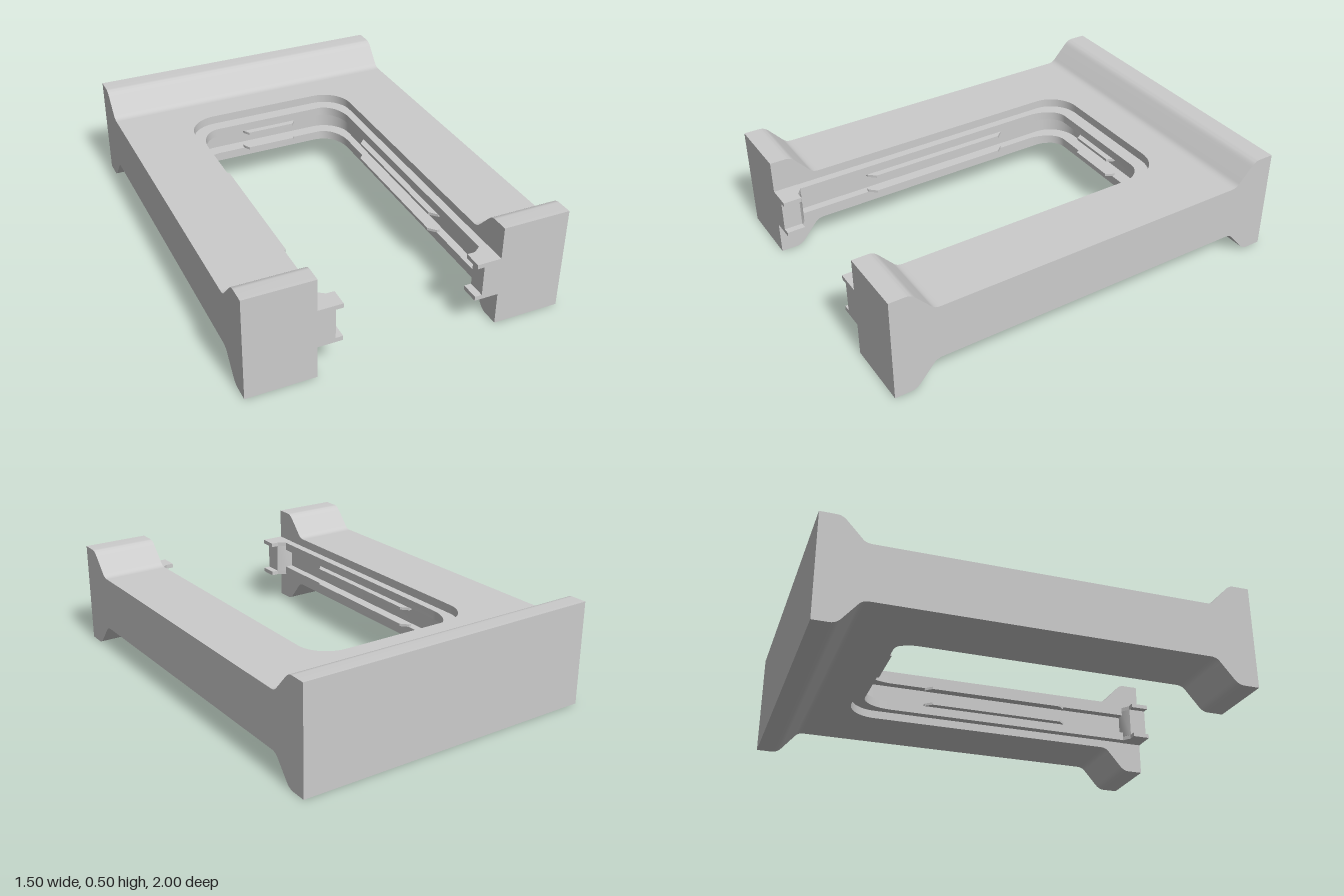
import * as THREE from 'three';
import { toCreasedNormals } from 'three/addons/utils/BufferGeometryUtils.js';

const material = new THREE.MeshStandardMaterial({ color: 0xcccccc });

function add(parent, name, geometry) {
  const mesh = new THREE.Mesh(toCreasedNormals(geometry, 0.6), material);
  mesh.name = name;
  parent.add(mesh);
}

// Plan outline (x, -z) extruded upward from y0 to y1
function slab(shape, y0, y1) {
  const g = new THREE.ExtrudeGeometry(shape, { depth: y1 - y0, bevelEnabled: false, curveSegments: 12 });
  return g.rotateX(-Math.PI / 2).translate(0, y0, 0);
}

// Side outline (z, y) extruded across from x0 to x1
function beam(shape, x0, x1) {
  const g = new THREE.ExtrudeGeometry(shape, { depth: x1 - x0, bevelEnabled: false, curveSegments: 6 });
  return g.rotateY(-Math.PI / 2).translate(x1, 0, 0);
}

// Polygon from [x, z] points, optionally mirrored to the other side
const plan = (points, side = 1) =>
  new THREE.Shape(points.map(([x, z]) => new THREE.Vector2(side * x, -z)));

// Traces the arch-shaped opening from the +x front end round to the -x front end
function traceOpening(s, x, front, back, cornerX, cornerZ) {
  s.lineTo(x, -front);
  s.lineTo(x, -cornerZ);
  s.bezierCurveTo(x, -(cornerZ + (back - cornerZ) * 0.55), cornerX + (x - cornerX) * 0.55, -back, cornerX, -back);
  s.lineTo(-cornerX, -back);
  s.bezierCurveTo(-cornerX - (x - cornerX) * 0.55, -back, -x, -(cornerZ + (back - cornerZ) * 0.55), -x, -cornerZ);
  s.lineTo(-x, -front);
}

// U-shaped plan: straight outside, arched opening
function horseshoe(outerX, outerBack, front, opening) {
  const s = new THREE.Shape();
  s.moveTo(-outerX, -front);
  s.lineTo(-outerX, -outerBack);
  s.lineTo(outerX, -outerBack);
  s.lineTo(outerX, -front);
  traceOpening(s, opening.x, front, opening.back, opening.cornerX, opening.cornerZ);
  s.closePath();
  return s;
}

// Flared end section, thickening toward z = dir
function flare(dir) {
  const s = new THREE.Shape();
  s.moveTo(dir, 0);
  s.lineTo(dir, 0.5);
  s.lineTo(dir * 0.925, 0.5);
  s.quadraticCurveTo(dir * 0.9, 0.5, dir * 0.88, 0.478);
  s.lineTo(dir * 0.815, 0.407);
  s.quadraticCurveTo(dir * 0.8, 0.387, dir * 0.77, 0.387);
  s.lineTo(dir * 0.77, 0.119);
  s.quadraticCurveTo(dir * 0.8, 0.119, dir * 0.815, 0.099);
  s.lineTo(dir * 0.88, 0.022);
  s.quadraticCurveTo(dir * 0.9, 0, dir * 0.925, 0);
  s.closePath();
  return s;
}

export function createModel() {
  const model = new THREE.Group();
  model.name = 'uFrame';

  // Main frame with flared ends
  const wall = { x: 0.427, back: -0.62, cornerX: 0.28, cornerZ: -0.475 };
  add(model, 'framePlate', slab(horseshoe(0.75, -0.77, 0.77, wall), 0.119, 0.387));
  add(model, 'backFlare', beam(flare(-1), -0.75, 0.75));
  add(model, 'leftFrontFlare', beam(flare(1), 0.427, 0.75));
  add(model, 'rightFrontFlare', beam(flare(1), -0.75, -0.427));

  // Two inner rails with a groove between them
  const inner = { x: 0.387, back: -0.555, cornerX: 0.28, cornerZ: -0.4 };
  const rails = new THREE.Group();
  rails.name = 'innerRails';
  model.add(rails);
  const railShape = new THREE.Shape();
  railShape.moveTo(-0.387, -0.998);
  railShape.lineTo(-0.43, -0.998);
  railShape.lineTo(-0.43, 0.475);
  railShape.quadraticCurveTo(-0.43, 0.63, -0.28, 0.63);
  railShape.lineTo(0.28, 0.63);
  railShape.quadraticCurveTo(0.43, 0.63, 0.43, 0.475);
  railShape.lineTo(0.43, -0.998);
  traceOpening(railShape, inner.x, 0.998, inner.back, inner.cornerX, inner.cornerZ);
  const sideLip = [[0.4, -0.225], [0.387, -0.225], [0.355, -0.19], [0.355, 0.505], [0.387, 0.54], [0.4, 0.54]];
  const backLip = [[-0.14, -0.57], [-0.14, -0.555], [-0.122, -0.525], [0.122, -0.525], [0.14, -0.555], [0.14, -0.57]];
  const hook = [[0.43, 0.885], [0.387, 0.885], [0.35, 0.912], [0.312, 0.912], [0.312, 1], [0.43, 1]];
  const web = [[0.43, 0.885], [0.387, 0.885], [0.346, 0.912], [0.346, 1], [0.43, 1]];

  const levels = [
    { name: 'upper', rail: [0.303, 0.345], lip: [0.29, 0.303], hook: [0.325, 0.346] },
    { name: 'lower', rail: [0.159, 0.203], lip: [0.203, 0.216], hook: [0.158, 0.179] },
  ];
  for (const level of levels) {
    add(rails, level.name + 'Rail', slab(railShape, ...level.rail));
    add(rails, level.name + 'BackLip', slab(plan(backLip), ...level.lip));
    for (const side of [1, -1]) {
      const label = level.name + (side > 0 ? 'Left' : 'Right');
      add(rails, label + 'Lip', slab(plan(sideLip, side), ...level.lip));
      add(rails, label + 'Hook', slab(plan(hook, side), ...level.hook));
    }
  }

  // Solid webs joining the hooks at the open end
  for (const side of [1, -1]) {
    add(rails, side > 0 ? 'leftHookWeb' : 'rightHookWeb', slab(plan(web, side), 0.179, 0.325));
  }
  return model;
}
